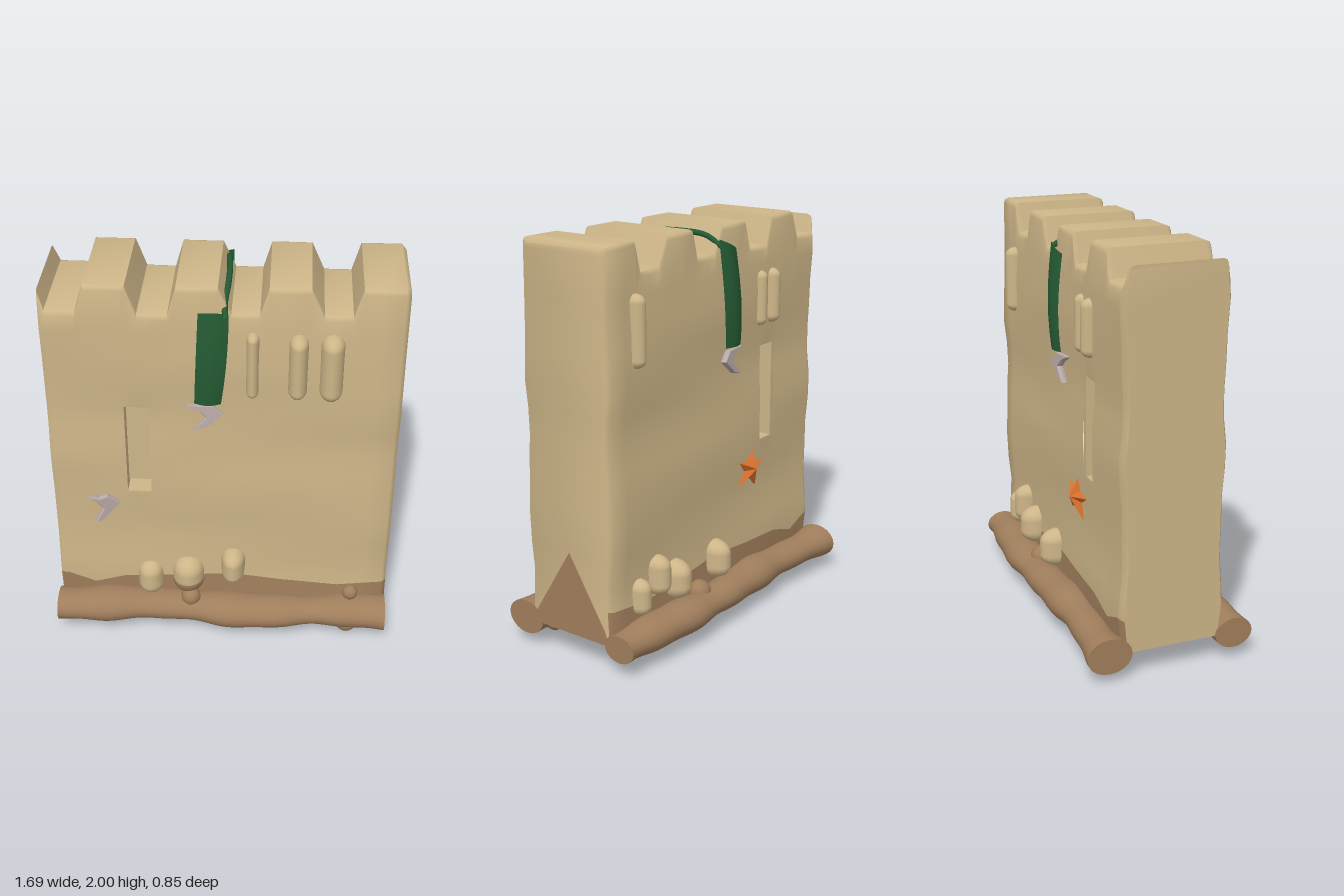
import * as THREE from 'three';
import { toCreasedNormals, mergeVertices } from 'three/addons/utils/BufferGeometryUtils.js';

const material = (name, color, side = THREE.FrontSide) => {
  const m = new THREE.MeshStandardMaterial({ color, side });
  m.name = name;
  return m;
};

// piecewise linear lookup through [x, y] points
const lerpPoints = (pts, x) => {
  for (let i = 1; i < pts.length; i++) {
    const [x0, y0] = pts[i - 1], [x1, y1] = pts[i];
    if (x <= x1) return y0 + (y1 - y0) * Math.max(0, (x - x0) / (x1 - x0));
  }
  return pts[pts.length - 1][1];
};

// battlement outline and upper edge of the damp sand
const TOP = [[-0.84, 1.95], [-0.81, 1.86], [-0.67, 1.86], [-0.63, 1.99], [-0.44, 1.99], [-0.39, 1.85],
  [-0.25, 1.85], [-0.21, 1.99], [-0.02, 1.99], [0.04, 1.86], [0.17, 1.86], [0.21, 1.995], [0.4, 1.995],
  [0.46, 1.86], [0.59, 1.86], [0.63, 2], [0.82, 2], [0.84, 1.98]];
const DAMP = [[-0.84, 0.3], [-0.8, 0.31], [-0.66, 0.25], [-0.5, 0.3], [-0.25, 0.31], [0.04, 0.33],
  [0.3, 0.3], [0.59, 0.28], [0.84, 0.31]];
const SLIT = { x0: -0.47, x1: -0.35, y0: 0.84, y1: 1.34 };

const faceZ = (x, y) => 0.252 + 0.008 * Math.sin(y * 9 + x * 1.6) + 0.004 * Math.sin(y * 17 - x * 3)
  - (Math.abs(x) > 0.83 ? 0.018 : 0);

function wallGeometry() {
  const xs = [...new Set([...TOP.map(p => p[0]), ...DAMP.map(p => p[0]), SLIT.x0, SLIT.x1, -0.12, 0.1, 0.52, 0.72])]
    .sort((a, b) => a - b);
  const rows = [0.42, 0.55, 0.7, 0.84, 0.97, 1.09, 1.22, 1.34, 1.48, 1.62, 1.76];
  // one closed cross-section per x: up the front, over the top, down the back
  const loops = xs.map(x => {
    const h = lerpPoints(TOP, x);
    const ys = [0.14, lerpPoints(DAMP, x), ...rows, h - 0.025, h - 0.007, h];
    const bevel = [0.007, 0.025];
    const side = s => ys.map((y, k) => {
      const inset = k >= ys.length - 2 ? bevel[k - ys.length + 2] : 0;
      return [x, y, s * (faceZ(x, Math.min(y, 1.9)) - inset)];
    });
    return [...side(1), ...side(-1).reverse()];
  });
  const sand = [], mud = [];
  const quad = (list, a, b, c, d) => list.push(...a, ...b, ...c, ...a, ...c, ...d);
  const L = loops[0].length;
  for (let i = 0; i < xs.length - 1; i++) for (let j = 0; j < L; j++) {
    const k = (j + 1) % L;
    const yMid = (loops[i][j][1] + loops[i][k][1]) / 2;
    const inSlit = xs[i] >= SLIT.x0 && xs[i + 1] <= SLIT.x1 && yMid > SLIT.y0 && yMid < SLIT.y1;
    if (inSlit) continue;
    const damp = j === 0 || j >= L - 2;
    quad(damp ? mud : sand, loops[i][j], loops[i + 1][j], loops[i + 1][k], loops[i][k]);
  }
  // end caps
  const first = loops[0], last = loops[loops.length - 1];
  for (let j = 0; j < L / 2 - 1; j++) {
    quad(sand, last[j], last[L - 1 - j], last[L - 2 - j], last[j + 1]);
    quad(sand, first[j + 1], first[L - 2 - j], first[L - 1 - j], first[j]);
  }
  const geo = new THREE.BufferGeometry();
  geo.setAttribute('position', new THREE.Float32BufferAttribute([...sand, ...mud], 3));
  geo.addGroup(0, sand.length / 3, 0);
  geo.addGroup(sand.length / 3, mud.length / 3, 1);
  return toCreasedNormals(geo, 0.95);
}

// lumpy roll of damp sand along the foot
function rollGeometry(phase) {
  const geo = new THREE.CylinderGeometry(0.082, 0.082, 1.69, 20, 48);
  geo.rotateZ(Math.PI / 2);
  const p = geo.attributes.position;
  for (let i = 0; i < p.count; i++) {
    const x = p.getX(i);
    const r = 1 + 0.1 * Math.sin(x * 9 + phase) + 0.05 * Math.sin(x * 21 + phase * 2);
    p.setXYZ(i, x, p.getY(i) * r * 0.95, p.getZ(i) * r * 1.2 + 0.015 * Math.sin(x * 6 + phase));
  }
  return toCreasedNormals(geo, 0.9);
}

// cloth panel hanging on one face; s is the side (+1 front, -1 back)
function bannerGeometry(s) {
  const geo = new THREE.PlaneGeometry(1, 1, 6, 10);
  const p = geo.attributes.position;
  for (let i = 0; i < p.count; i++) {
    const u = p.getX(i) + 0.5, v = 0.5 - p.getY(i);
    const left = -0.11 - 0.02 * v, right = 0.03 - 0.035 * v * v;
    const peak = s > 0 ? 0.015 * Math.sin(u * Math.PI) : 0.06 * u;
    p.setXYZ(i, left + (right - left) * u, 1.87 - 0.47 * v + peak * (1 - v),
      s * (0.262 + 0.028 * Math.sin(v * 2.4) + 0.02 * Math.sin(u * Math.PI)));
  }
  geo.computeVertexNormals();
  return geo;
}

function starGeometry() {
  const geo = new THREE.ConeGeometry(0.125, 0.05, 10, 1);
  const p = geo.attributes.position;
  for (let i = 0; i < p.count; i++) {
    const x = p.getX(i), z = p.getZ(i);
    const spoke = Math.round(Math.atan2(x, z) / (Math.PI / 5) + 10);
    const k = spoke % 2 ? 0.42 : 1;
    p.setX(i, x * k);
    p.setZ(i, z * k);
  }
  geo.rotateX(-Math.PI / 2);
  return toCreasedNormals(geo, 0.3);
}

export function createModel() {
  const sand = material('dry sand', 0xcdb588);
  const mud = material('damp sand', 0xa07e5c);
  const green = material('green weed', 0x245a33, THREE.DoubleSide);
  const shell = material('pale shell', 0xb8a9a6, THREE.DoubleSide);
  const orange = material('orange star', 0xd9722c);
  const group = new THREE.Group();
  const add = (name, geo, mat, x = 0, y = 0, z = 0) => {
    const m = new THREE.Mesh(geo, mat);
    m.name = name;
    m.position.set(x, y, z);
    group.add(m);
    return m;
  };

  add('wall', wallGeometry(), [sand, mud]);

  // arrow slit lining and the recessed panel inside it
  const { x0, x1, y0, y1 } = SLIT;
  const rect = (P, e) => new P([[x0 - e, y0 - e], [x1 + e, y0 - e], [x1 + e, y1 + e], [x0 - e, y1 + e]]
    .map(p => new THREE.Vector2(...p)));
  const frame = rect(THREE.Shape, 0.03);
  frame.holes.push(rect(THREE.Path, 0));
  add('slitLining', new THREE.ExtrudeGeometry(frame, { depth: 0.48, bevelEnabled: false }), sand, 0, 0, -0.24);
  add('slitPanel', new THREE.BoxGeometry(0.12, 0.45, 0.34), sand, -0.41, 1.087, 0);

  // damp foot
  add('frontRoll', rollGeometry(0.6), mud, -0.004, 0.142, 0.3);
  add('backRoll', rollGeometry(3.4), mud, -0.004, 0.142, -0.305);
  add('drip', new THREE.SphereGeometry(0.055, 16, 12), mud, 0.65, 0.058, 0.28);
  const patch = new THREE.Shape([[-0.235, 0.14], [0.235, 0.14], [0.21, 0.21], [0, 0.55], [-0.21, 0.21]]
    .map(p => new THREE.Vector2(...p)));
  add('dampPatch', new THREE.ExtrudeGeometry(patch, { depth: 0.006, bevelEnabled: false }), mud, 0.837)
    .rotation.y = Math.PI / 2;
  for (const [x, y, z, r] of [[-0.16, 0.22, 0.31, 0.05], [0.66, 0.25, 0.27, 0.04], [0.2, 0.2, -0.28, 0.06]])
    add('dampLump', new THREE.SphereGeometry(r, 14, 10), mud, x, y, z);

  // rounded lumps: x, y, width, height, outward reach, side
  const lump = (name, [x, y, w, h, reach, s]) => {
    const geo = new THREE.CapsuleGeometry(w / 2, Math.max(h - w, 0.01), 6, 16);
    const m = add(name, geo, sand, x, y, s * 0.245);
    m.scale.z = (reach - 0.245) / (w / 2);
    return m;
  };
  [[-0.37, 0.3, 0.13, 0.2, 0.32, 1], [-0.175, 0.335, 0.16, 0.2, 0.335, 1], [0.055, 0.4, 0.12, 0.19, 0.345, 1],
    [0.035, 0.32, 0.13, 0.2, 0.345, -1], [0.36, 0.32, 0.14, 0.2, 0.34, -1], [0.5, 0.39, 0.11, 0.2, 0.325, -1],
    [0.63, 0.32, 0.1, 0.18, 0.31, -1]].forEach(l => lump('footPebble', l));
  [[0.14, 1.6, 0.06, 0.34, 0.3, 1], [0.35, 1.6, 0.09, 0.33, 0.325, 1], [0.505, 1.6, 0.11, 0.34, 0.33, 1],
    [0.64, 1.6, 0.08, 0.34, 0.3, -1], [-0.34, 1.59, 0.07, 0.28, 0.29, -1], [-0.44, 1.59, 0.08, 0.28, 0.3, -1]]
    .forEach(l => lump('wallRib', l));
  // damp underside of the middle pebble
  const cup = new THREE.SphereGeometry(0.083, 18, 8, 0, Math.PI * 2, Math.PI / 2, Math.PI / 2);
  add('dampCup', cup, mud, -0.175, 0.31, 0.25).scale.set(1, 1.05, 1.1);

  // weed hanging on both faces, joined by a strap over the top
  add('frontBanner', bannerGeometry(1), green);
  add('backBanner', bannerGeometry(-1), green);
  const strapPath = new THREE.CatmullRomCurve3([[0.015, 1.85, 0.275], [0.01, 1.9, 0.22], [0.02, 1.94, 0.1],
    [0.02, 1.95, -0.05], [0.01, 1.94, -0.17], [0.005, 1.89, -0.265]].map(p => new THREE.Vector3(...p)));
  add('strap', new THREE.TubeGeometry(strapPath, 24, 0.014, 8), green);

  // broken shell pieces
  const shard = (pts, z, tilt) => {
    const geo = new THREE.ExtrudeGeometry(new THREE.Shape(pts.map(p => new THREE.Vector2(...p))),
      { depth: 0.012, bevelThickness: 0.01, bevelSize: 0.005, bevelSegments: 1 });
    geo.center();
    const xs = pts.map(p => p[0]), ys = pts.map(p => p[1]);
    const mid = a => (Math.min(...a) + Math.max(...a)) / 2;
    add('shellPiece', geo, shell, mid(xs), mid(ys), z).rotation.set(...tilt);
  };
  const upper = [[-0.16, 1.38], [-0.05, 1.375], [0, 1.33], [-0.08, 1.265], [-0.13, 1.25], [-0.07, 1.315], [-0.1, 1.35]];
  shard(upper, 0.268, [-0.1, 0.1, 0]);
  shard(upper, -0.265, [0.1, 0.1, 0]);
  shard([[-0.66, 0.845], [-0.61, 0.825], [-0.57, 0.835], [-0.51, 0.785], [-0.6, 0.695], [-0.63, 0.69],
    [-0.585, 0.765], [-0.62, 0.81]], 0.283, [0, 0.35, 0]);

  // five-armed star on the back
  const star = add('star', starGeometry(), orange, -0.27, 0.715, -0.272);
  star.rotation.z = 0.15;
  return group;
}
